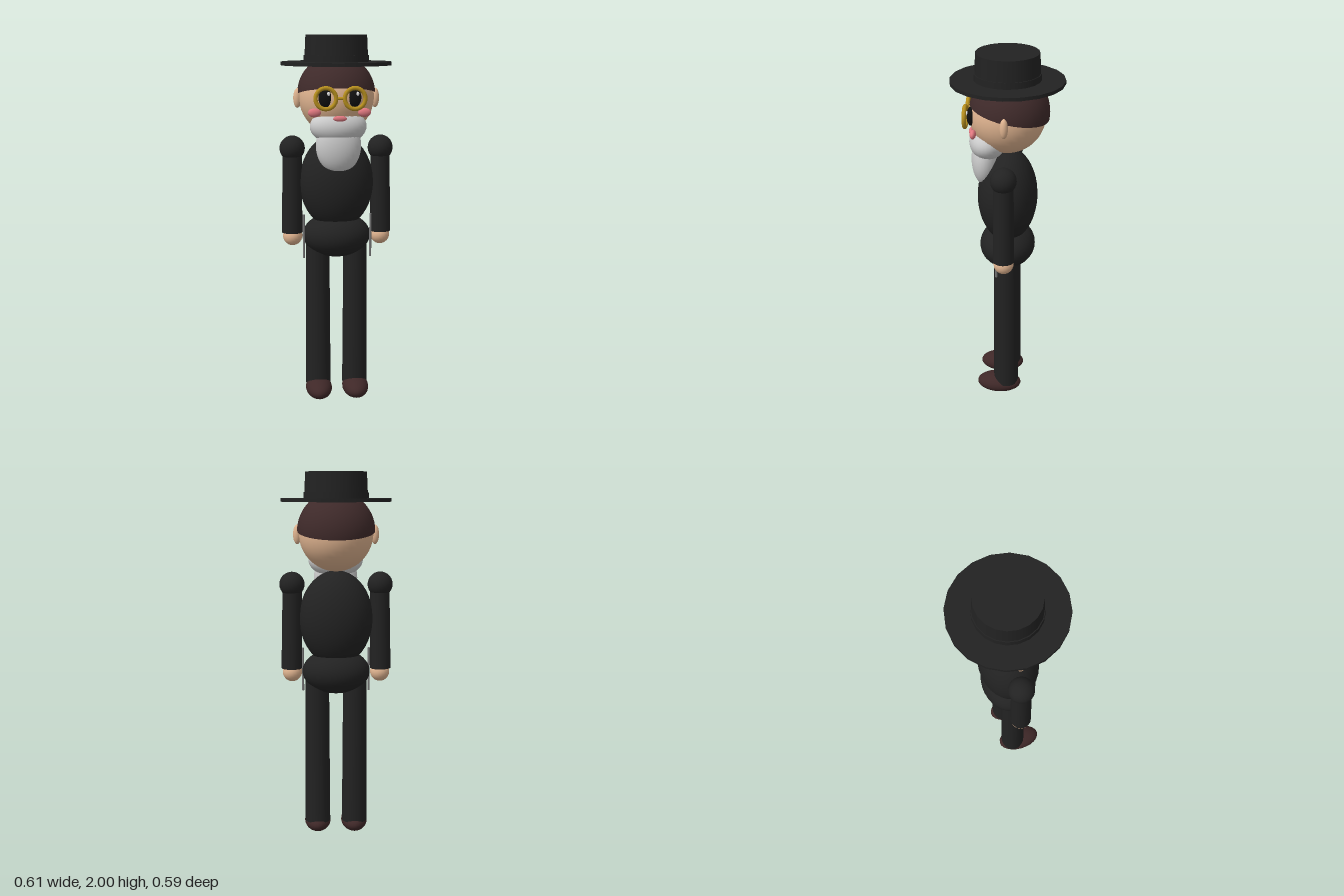
import * as THREE from 'three';

const mat = (name, color) => {
  const m = new THREE.MeshStandardMaterial({ color });
  m.name = name;
  return m;
};

export function createModel() {
  const black = mat('black cloth', 0x222222);
  const skin = mat('skin', 0xe0b490);
  const hairMat = mat('dark brown hair', 0x3f2a2a);
  const leather = mat('shoe leather', 0x3f2828);
  const grey = mat('beard grey', 0xcccccc);
  const gold = mat('gold', 0xb8901e);
  const pink = mat('pink', 0xe07880);
  const eyeBlack = mat('eye black', 0x111111);
  const white = mat('eye highlight', 0xffffff);
  const cord = mat('cord grey', 0x777777);

  const model = new THREE.Group();
  model.name = 'gentleman';

  const add = (name, geometry, material, x, y, z) => {
    const mesh = new THREE.Mesh(geometry, material);
    mesh.name = name;
    mesh.position.set(x, y, z);
    model.add(mesh);
    return mesh;
  };
  const ball = (name, material, [x, y, z], [rx, ry, rz], seg = 28) => {
    const g = new THREE.SphereGeometry(1, seg, Math.ceil(seg * 0.7)).scale(rx, ry, rz);
    return add(name, g, material, x, y, z);
  };
  const tube = (name, material, [x, y, z], rTop, rBottom, h, seg = 20) =>
    add(name, new THREE.CylinderGeometry(rTop, rBottom, h, seg), material, x, y, z);

  // Hat
  tube('hatBrim', black, [0, 1.853, 0], 0.295, 0.295, 0.018);
  tube('hatCrown', black, [0, 1.93, 0], 0.163, 0.17, 0.14);
  tube('hatBand', black, [0, 1.878, 0], 0.173, 0.174, 0.034);

  // Head, with a tilted cap of hair lower at the back
  ball('head', skin, [0, 1.68, 0], [0.2, 0.205, 0.2], 32);
  const hair = add('hair',
    new THREE.SphereGeometry(0.208, 32, 14, 0, Math.PI * 2, 0, Math.PI / 2), hairMat, 0, 1.692, -0.01);
  hair.rotation.x = -0.2;

  // Beard and mouth
  ball('upperBeard', grey, [0, 1.53, 0.1], [0.15, 0.095, 0.1]);
  ball('lowerBeard', grey, [0, 1.43, 0.115], [0.12, 0.15, 0.075]);
  ball('mouth', pink, [0, 1.578, 0.19], [0.036, 0.015, 0.012], 16);

  // Torso
  ball('torso', black, [0, 1.22, 0], [0.2, 0.26, 0.16], 32);
  ball('hips', black, [0, 0.928, 0], [0.185, 0.122, 0.15], 32);

  // Bridge of the spectacles
  const bridge = tube('spectacleBridge', gold, [0, 1.682, 0.21], 0.008, 0.008, 0.046, 10);
  bridge.rotation.z = Math.PI / 2;

  // Mirrored parts
  for (const [side, s] of [['left', 1], ['right', -1]]) {
    ball(side + 'Ear', skin, [s * 0.208, 1.672, 0], [0.022, 0.052, 0.021], 18);
    ball(side + 'Eye', eyeBlack, [s * 0.075, 1.685, 0.18], [0.036, 0.05, 0.022], 20);
    ball(side + 'EyeHighlight', white, [s * 0.075 + 0.015, 1.705, 0.198], [0.008, 0.011, 0.005], 10);
    add(side + 'SpectacleRim', new THREE.TorusGeometry(0.053, 0.011, 10, 28), gold, s * 0.075, 1.682, 0.21);
    ball(side + 'Cheek', pink, [s * 0.13, 1.607, 0.165], [0.034, 0.023, 0.016], 16);

    ball(side + 'Shoulder', black, [s * 0.238, 1.405, 0], [0.068, 0.068, 0.068], 20);
    const arm = tube(side + 'Arm', black, [s * 0.24, 1.175, 0], 0.052, 0.056, 0.46);
    arm.rotation.z = s * 0.015;
    ball(side + 'Hand', skin, [s * 0.24, 0.925, 0], [0.053, 0.053, 0.053], 20);
    tube(side + 'Cord', cord, [s * 0.182, 0.93, 0.045], 0.006, 0.006, 0.24, 8);

    tube(side + 'Leg', black, [s * 0.103, 0.49, 0], 0.064, 0.07, 0.84);
    ball(side + 'Shoe', leather, [s * 0.103, 0.056, 0.04], [0.073, 0.056, 0.125], 24);
  }
  return model;
}
